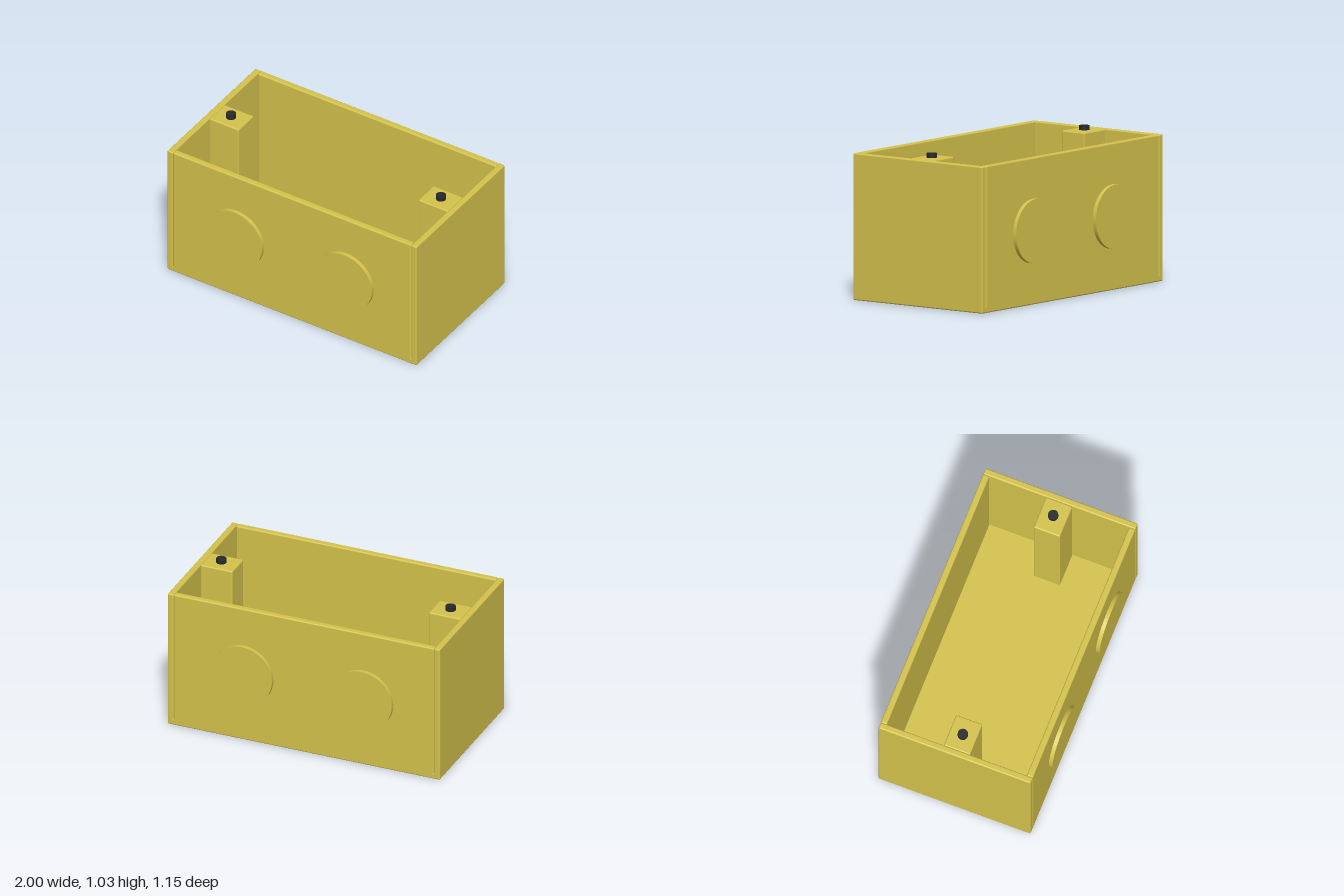
import * as THREE from 'three';
import { RoundedBoxGeometry } from 'three/addons/geometries/RoundedBoxGeometry.js';

const yellow = new THREE.MeshStandardMaterial({ color: 0xd4c24c });
yellow.name = 'yellow plastic';
const black = new THREE.MeshStandardMaterial({ color: 0x26282b });
black.name = 'black screw';

const WALL = 0.045, WIDTH = 2, DEPTH = 1.1, HEIGHT = 1;

export function createModel() {
  const group = new THREE.Group();
  group.name = 'junctionBox';

  const add = (name, geometry, material, x, y, z) => {
    const mesh = new THREE.Mesh(geometry, material);
    mesh.name = name;
    mesh.position.set(x, y, z);
    group.add(mesh);
    return mesh;
  };
  const slab = (w, h, d) => new RoundedBoxGeometry(w, h, d, 3, 0.01);

  // Floor
  add('floor', slab(WIDTH, WALL, DEPTH), yellow, 0, WALL / 2, 0);

  for (const s of [1, -1]) {
    const side = s > 0 ? 'left' : 'right';
    const face = s > 0 ? 'front' : 'back';

    // Walls: the ends run full depth, front and back fit between them
    add(side + 'Wall', slab(WALL, HEIGHT, DEPTH), yellow, s * (WIDTH - WALL) / 2, HEIGHT / 2, 0);
    add(face + 'Wall', slab(WIDTH - 2 * WALL, HEIGHT - 0.02, WALL), yellow,
      0, HEIGHT / 2 + 0.01, s * (DEPTH - WALL) / 2);

    // Screw post and its screw
    add(side + 'Post', slab(0.235, HEIGHT - 0.02, 0.19), yellow, s * 0.838, HEIGHT / 2 + 0.01, 0);
    add(side + 'Screw', new THREE.CylinderGeometry(0.035, 0.035, 0.06, 20), black, s * 0.842, 1, 0);

    // Round knockouts
    for (const x of [-0.44, 0.44]) {
      const disc = add(face + 'Knockout', new THREE.CylinderGeometry(0.219, 0.219, 0.05, 48), yellow,
        x, 0.503, s * 0.552);
      disc.rotation.x = Math.PI / 2;
    }
  }
  return group;
}
